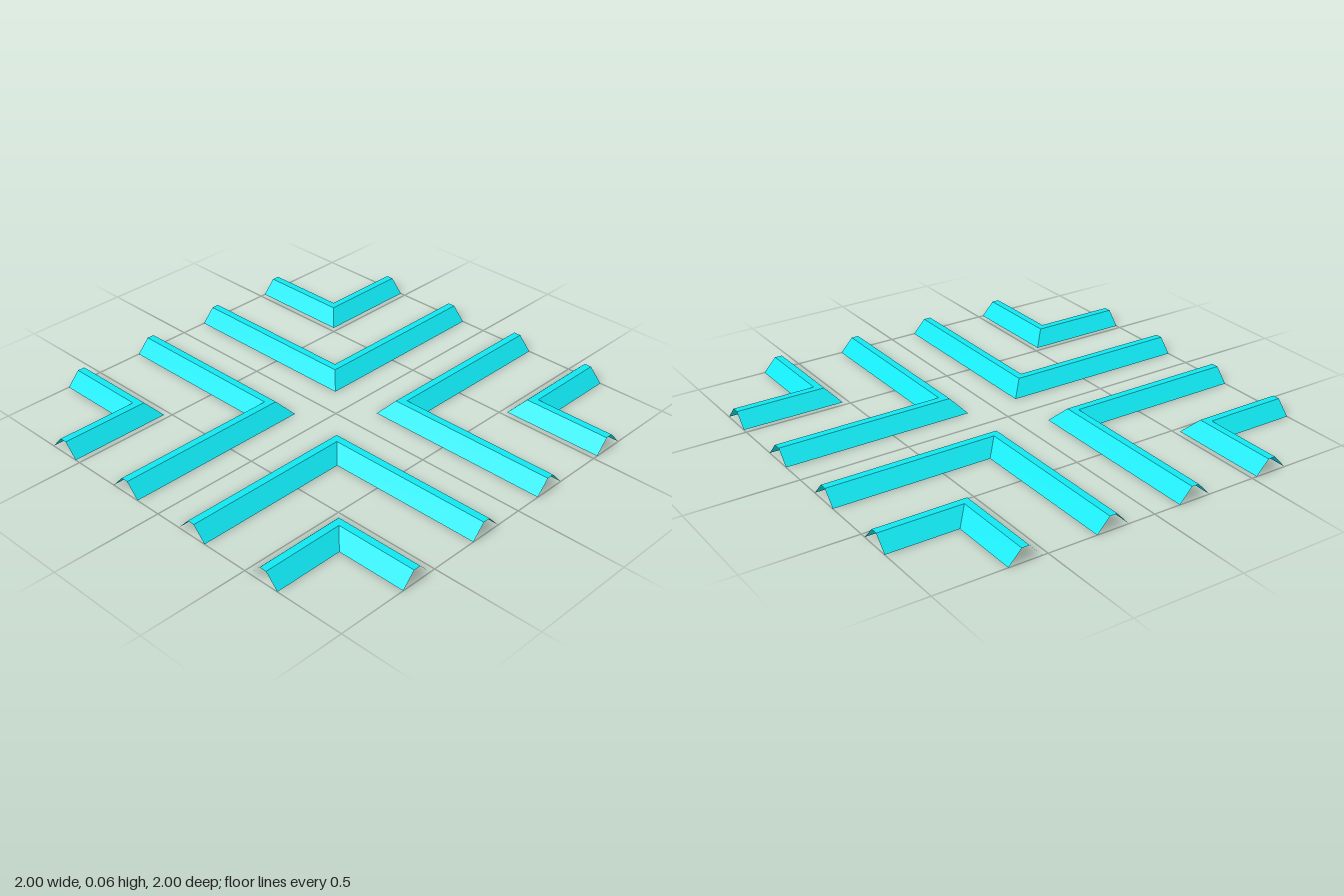
import * as THREE from 'three';

// Open trapezoid channel cross-section: [offset from centre line, height]
const profile = [[-0.075, 0], [-0.017, 0.063], [0.017, 0.063], [0.075, 0]];

// L-shaped mitred channel: one arm runs to x = 1, the other to z = 1
function cornerChannel(c) {
  const stations = [
    (o, y) => [1, y, c + o],
    (o, y) => [c + o, y, c + o],
    (o, y) => [c + o, y, 1],
  ].map(place => profile.map(([o, y]) => place(o, y)));

  const pos = [];
  for (let s = 0; s < 2; s++) {
    const a = stations[s], b = stations[s + 1];
    for (let i = 0; i < profile.length - 1; i++) {
      for (const p of [a[i], b[i], b[i + 1], a[i], b[i + 1], a[i + 1]]) pos.push(...p);
    }
  }
  const geo = new THREE.BufferGeometry();
  geo.setAttribute('position', new THREE.Float32BufferAttribute(pos, 3));
  geo.computeVertexNormals();
  return geo;
}

export function createModel() {
  const group = new THREE.Group();
  group.name = 'cornerChannels';
  const material = new THREE.MeshStandardMaterial({
    color: 0x10e8f2, flatShading: true, side: THREE.DoubleSide,
  });
  const parts = [['innerCorner', cornerChannel(0.2)], ['outerCorner', cornerChannel(0.6)]];

  // Two nested corners in each quadrant
  ['FrontLeft', 'BackLeft', 'BackRight', 'FrontRight'].forEach((side, q) => {
    for (const [name, geo] of parts) {
      const mesh = new THREE.Mesh(geo, material);
      mesh.name = name + side;
      mesh.rotation.y = q * Math.PI / 2;
      group.add(mesh);
    }
  });
  return group;
}
